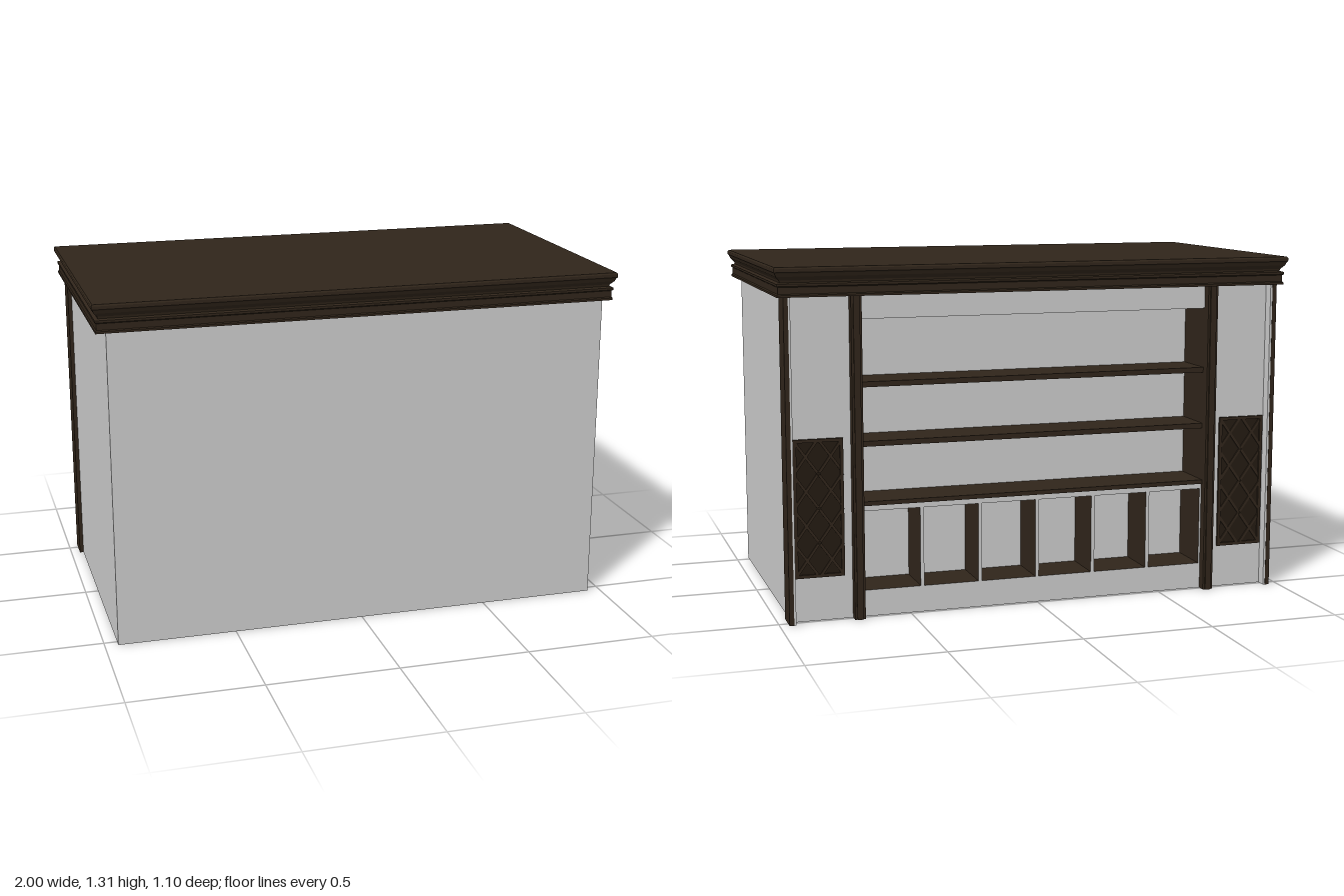
import * as THREE from 'three';

const grey = new THREE.MeshStandardMaterial({ color: 0xcccccc });
const wood = new THREE.MeshStandardMaterial({ color: 0x30251a });
const darkWood = new THREE.MeshStandardMaterial({ color: 0x241b12 });

// Box given by its min and max corners
function box(name, mat, [x0, y0, z0], [x1, y1, z1]) {
  const mesh = new THREE.Mesh(new THREE.BoxGeometry(x1 - x0, y1 - y0, z1 - z0), mat);
  mesh.position.set((x0 + x1) / 2, (y0 + y1) / 2, (z0 + z1) / 2);
  mesh.name = name;
  return mesh;
}

function rectPath(x0, y0, x1, y1, Type = THREE.Path) {
  return new Type([[x0, y0], [x1, y0], [x1, y1], [x0, y1]].map(p => new THREE.Vector2(...p)));
}

// Moulding lofted from rectangles: profile rows are [height, inset]
function rectLoft(profile, hx, hz) {
  const rings = profile.map(([y, o]) => [[-1, 1], [1, 1], [1, -1], [-1, -1]]
    .map(([sx, sz]) => [sx * (hx - o), y, sz * (hz - o)]));
  const pos = [];
  const quad = (a, b, c, d) => pos.push(...a, ...b, ...c, ...a, ...c, ...d);
  for (let i = 0; i < rings.length - 1; i++) {
    for (let k = 0; k < 4; k++) {
      const n = (k + 1) % 4;
      quad(rings[i][k], rings[i][n], rings[i + 1][n], rings[i + 1][k]);
    }
  }
  quad(...rings[rings.length - 1]);
  quad(...[...rings[0]].reverse());
  const geo = new THREE.BufferGeometry();
  geo.setAttribute('position', new THREE.Float32BufferAttribute(pos, 3));
  geo.computeVertexNormals();
  return geo;
}

// Framed panel filled with crossing diagonal slats
function latticePanel(x0, x1, y0, y1, z) {
  const group = new THREE.Group();
  group.name = 'latticePanel';
  group.add(box('latticeBacking', darkWood, [x0, y0, z - 0.002], [x1, y1, z + 0.005]));
  const t = 0.012, f = z - 0.009;
  group.add(box('latticeFrame', wood, [x0, y0, f], [x0 + t, y1, z]));
  group.add(box('latticeFrame', wood, [x1 - t, y0, f], [x1, y1, z]));
  group.add(box('latticeFrame', wood, [x0 + t, y0, f], [x1 - t, y0 + t, z]));
  group.add(box('latticeFrame', wood, [x0 + t, y1 - t, f], [x1 - t, y1, z]));
  const cols = 2, rows = 4, w = (x1 - x0) / cols, h = (y1 - y0) / rows;
  for (let c = 0; c < cols; c++) for (let r = 0; r < rows; r++) for (const s of [-1, 1]) {
    const slat = new THREE.Mesh(new THREE.BoxGeometry(0.01, Math.hypot(w, h) - 0.01, 0.006), wood);
    slat.position.set(x0 + (c + 0.5) * w, y0 + (r + 0.5) * h, z - 0.004);
    slat.rotation.z = s * Math.atan2(w, h);
    slat.name = 'latticeSlat';
    group.add(slat);
  }
  return group;
}

export function createModel() {
  const model = new THREE.Group();
  model.name = 'shelvedCounter';
  const face = -0.49, inner = -0.31, edge = -0.53;

  // Solid body behind the shelves, floor slab and side walls
  model.add(box('body', grey, [-0.95, 0, inner], [0.95, 1.2, 0.53]));
  model.add(box('floor', grey, [-0.94, 0, face], [0.94, 0.01, inner]));

  // Shelf front: one large opening above a row of six cubbies
  const front = rectPath(-0.94, 0.01, 0.94, 1.2, THREE.Shape);
  const half = 0.68, count = 6, pitch = 2 * half / count;
  front.holes.push(rectPath(-half, 0.43, half, 1.11));
  for (let i = 0; i < count; i++) {
    const x = -half + i * pitch;
    front.holes.push(rectPath(x + 0.007, 0.1, x + pitch - 0.007, 0.4));
  }
  const frontMesh = new THREE.Mesh(
    new THREE.ExtrudeGeometry(front, { depth: inner - face, bevelEnabled: false }), [grey, wood]);
  frontMesh.position.z = face;
  frontMesh.name = 'shelfFront';
  model.add(frontMesh);

  // Shelf boards and the ledge over the cubbies
  for (const y of [0.88, 0.66]) {
    model.add(box('shelf', wood, [-half, y - 0.02, face + 0.002], [half, y, inner]));
  }
  model.add(box('ledge', wood, [-half, 0.42, face - 0.006], [half, 0.436, inner]));

  for (const s of [-1, 1]) {
    const side = (name, mat, xa, xb, y0, y1, z0, z1) => model.add(box(name, mat,
      [Math.min(s * xa, s * xb), y0, z0], [Math.max(s * xa, s * xb), y1, z1]));
    side('sideWall', grey, 0.94, 0.95, 0, 1.2, edge + 0.001, inner);
    side('cornerPost', wood, 0.948, 0.965, 0, 1.2, edge, -0.437);
    side('innerPost', wood, 0.68, 0.72, 0, 1.2, edge + 0.006, face);
    side('innerPostBead', wood, 0.688, 0.712, 0, 1.2, edge, face);
    const [a, b] = [s * 0.75, s * 0.935].sort((p, q) => p - q);
    model.add(latticePanel(a, b, 0.165, 0.68, face));
  }

  // Stepped cornice and top
  const profile = [[1.198, 0.012], [1.206, 0.012], [1.21, 0.016], [1.234, 0.016], [1.238, 0.011],
    [1.246, 0.011], [1.25, 0.024], [1.258, 0.022], [1.272, 0.009], [1.284, 0.004],
    [1.288, 0], [1.3, 0], [1.306, 0.004]];
  const cornice = new THREE.Mesh(rectLoft(profile, 1, 0.552), wood);
  cornice.name = 'cornice';
  model.add(cornice);
  return model;
}
